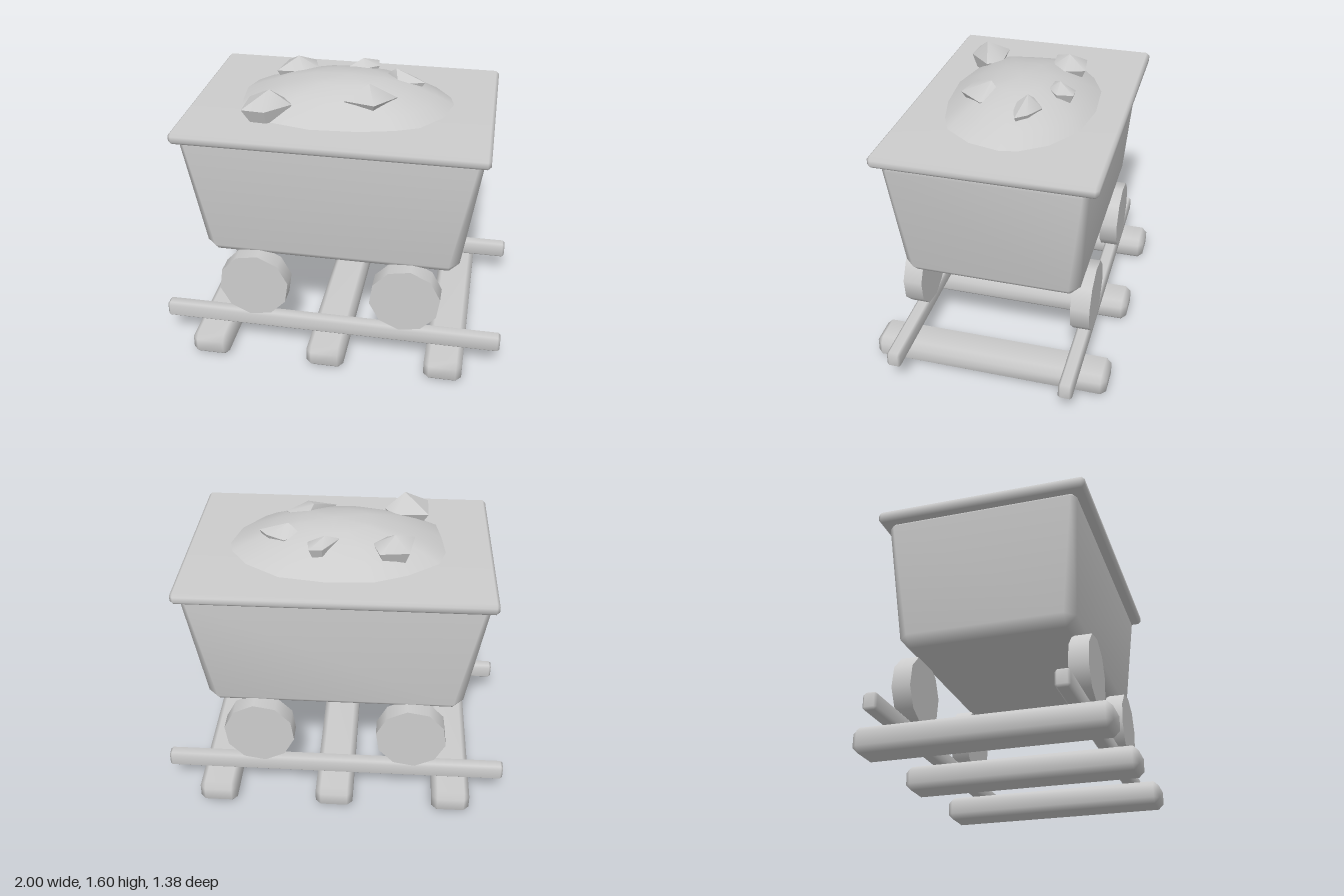
import * as THREE from 'three';
import { mergeVertices, toCreasedNormals } from 'three/addons/utils/BufferGeometryUtils.js';
import { ConvexGeometry } from 'three/addons/geometries/ConvexGeometry.js';

const grey = new THREE.MeshStandardMaterial({ color: 0xcccccc });
grey.name = 'plain grey';

function add(group, name, geometry, x = 0, y = 0, z = 0) {
  const mesh = new THREE.Mesh(geometry, grey);
  mesh.name = name;
  mesh.position.set(x, y, z);
  group.add(mesh);
  return mesh;
}

// Share corners so the normals run smoothly over the chamfers
function smooth(geometry) {
  geometry.deleteAttribute('normal');
  geometry.deleteAttribute('uv');
  const merged = mergeVertices(geometry, 1e-4);
  merged.computeVertexNormals();
  return merged;
}

// Chamfered box; each end is [y, half width, half depth, chamfer]
function chamferBox(bottom, top) {
  const points = [];
  [[bottom, 1], [top, -1]].forEach(([[y, w, d, c], inward]) => {
    for (const sx of [-1, 1]) for (const sz of [-1, 1]) {
      points.push(
        new THREE.Vector3(sx * (w - c), y, sz * (d - c)),
        new THREE.Vector3(sx * w, y + inward * c, sz * (d - c)),
        new THREE.Vector3(sx * (w - c), y + inward * c, sz * d));
    }
  });
  return smooth(new ConvexGeometry(points));
}

// Low dome whose rings shrink from an uneven outline to the crown
function moundGeometry() {
  const outline = [
    [0.645, -0.04], [0.6, 0.15], [0.48, 0.31], [0.35, 0.37], [0.15, 0.42], [-0.13, 0.44],
    [-0.4, 0.38], [-0.57, 0.26], [-0.6, 0.1], [-0.62, -0.08], [-0.58, -0.21], [-0.4, -0.35],
    [-0.22, -0.43], [0.05, -0.45], [0.32, -0.41], [0.52, -0.28], [0.62, -0.14]];
  const n = outline.length, rings = [1, 0.8, 0.58, 0.32];
  const cx = 0.03, base = 1.41, rise = 0.175;
  const pos = [], index = [];
  for (const r of rings) {
    for (const [x, z] of outline) pos.push(cx + (x - cx) * r, base + rise * (1 - r * r), z * r);
  }
  pos.push(cx, base + rise, 0);
  for (let i = 0; i < n; i++) {
    const j = (i + 1) % n;
    for (let k = 0; k < rings.length - 1; k++) {
      const a = k * n + i, b = k * n + j;
      index.push(a, a + n, b, b, a + n, b + n);
    }
    const last = (rings.length - 1) * n;
    index.push(last + i, rings.length * n, last + j);
  }
  const geometry = new THREE.BufferGeometry();
  geometry.setAttribute('position', new THREE.Float32BufferAttribute(pos, 3));
  geometry.setIndex(index);
  geometry.computeVertexNormals();
  return geometry;
}

// Rock: an outline at one height, a crown point and a narrower buried base
function rockGeometry(y, outline, crown) {
  const points = [new THREE.Vector3(...crown)];
  for (const [x, z] of outline) {
    points.push(new THREE.Vector3(x, y, z));
    points.push(new THREE.Vector3(
      THREE.MathUtils.lerp(x, crown[0], 0.3), y - 0.08, THREE.MathUtils.lerp(z, crown[2], 0.3)));
  }
  return toCreasedNormals(new ConvexGeometry(points), 0.75);
}

export function createModel() {
  const model = new THREE.Group();
  model.name = 'loadedMineCart';

  // Track
  const track = new THREE.Group();
  track.name = 'track';
  model.add(track);
  for (const x of [-0.693, -0.004, 0.686]) {
    add(track, 'sleeper', chamferBox([0, 0.11, 0.69, 0.032], [0.14, 0.11, 0.69, 0.032]), x);
  }
  for (const z of [-0.497, 0.497]) {
    add(track, 'rail', chamferBox([0.14, 1, 0.04, 0.014], [0.235, 1, 0.04, 0.014]), 0, 0, z);
  }

  // Ten-sided wheels
  const wheelGeometry = new THREE.CylinderGeometry(0.206, 0.206, 0.11, 10);
  wheelGeometry.rotateX(Math.PI / 2);
  wheelGeometry.rotateZ(THREE.MathUtils.degToRad(-8));
  for (const x of [-0.444, 0.44]) for (const z of [-0.496, 0.496]) {
    add(model, 'wheel', wheelGeometry, x, 0.444, z);
  }

  // Tapered tub and its lid-like rim
  add(model, 'tub', chamferBox([0.615, 0.733, 0.502, 0.058], [1.36, 0.825, 0.55, 0.032]));
  add(model, 'rim', chamferBox([1.355, 0.86, 0.605, 0.018], [1.422, 0.86, 0.605, 0.018]));

  // Load
  const load = new THREE.Group();
  load.name = 'load';
  model.add(load);
  add(load, 'mound', moundGeometry());
  const rocks = [
    [1.5, [[-0.5, 0.22], [-0.3, 0.21], [-0.245, 0.29], [-0.37, 0.42], [-0.5, 0.41]], [-0.36, 1.595, 0.32]],
    [1.53, [[0.04, 0.26], [0.2, 0.065], [0.32, 0.16], [0.21, 0.3]], [0.16, 1.592, 0.14]],
    [1.53, [[-0.39, -0.29], [-0.23, -0.31], [-0.19, -0.19], [-0.26, -0.11], [-0.42, -0.1]], [-0.31, 1.592, -0.2]],
    [1.55, [[0.08, -0.32], [0.15, -0.32], [0.165, -0.23], [0.09, -0.17], [-0.01, -0.18]], [0.07, 1.592, -0.23]],
    [1.53, [[0.2, -0.13], [0.3, -0.185], [0.4, -0.13], [0.45, -0.07], [0.3, -0.02]], [0.28, 1.594, -0.1]]];
  for (const rock of rocks) add(load, 'rock', rockGeometry(...rock));

  return model;
}
